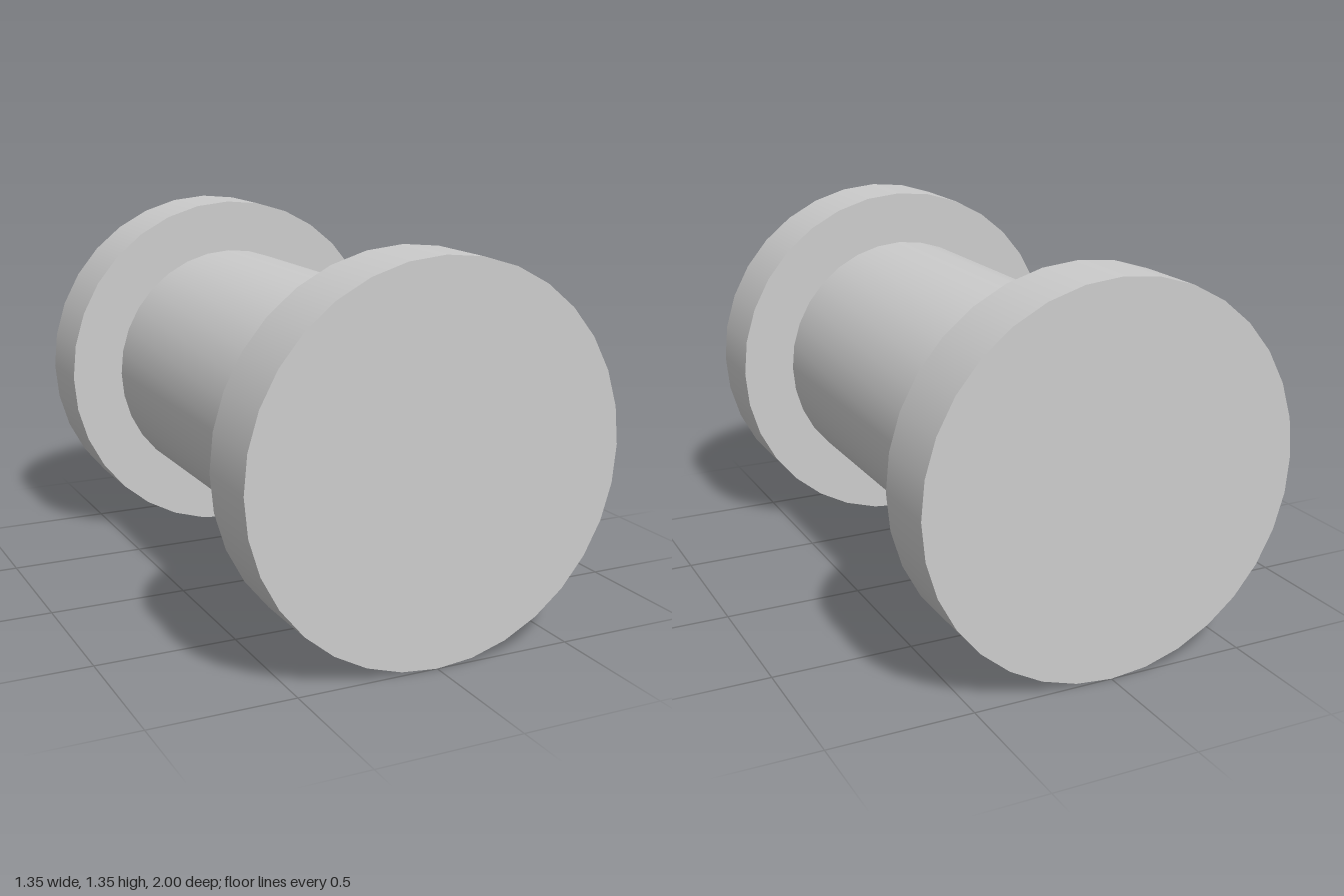
import * as THREE from 'three';

const SEGMENTS = 32;
const FLANGE_RADIUS = 0.675, FLANGE_WIDTH = 0.27;
const BARREL_RADIUS = 0.475;

export function createModel() {
  const group = new THREE.Group();
  group.name = 'spool';
  const material = new THREE.MeshStandardMaterial({ color: 0xcccccc });

  // Cylinder lying along z, resting at the flange axis height
  const addDisc = (name, radius, length, z, openEnded) => {
    const geometry = new THREE.CylinderGeometry(radius, radius, length, SEGMENTS, 1, openEnded);
    geometry.rotateX(Math.PI / 2);
    const mesh = new THREE.Mesh(geometry, material);
    mesh.name = name;
    mesh.position.set(0, FLANGE_RADIUS, z);
    group.add(mesh);
  };

  // Central barrel, its ends closed by the flanges
  addDisc('barrel', BARREL_RADIUS, 2 - 2 * FLANGE_WIDTH, 0, true);

  // End flanges
  for (const [name, side] of [['frontFlange', 1], ['backFlange', -1]]) {
    addDisc(name, FLANGE_RADIUS, FLANGE_WIDTH, side * (1 - FLANGE_WIDTH / 2), false);
  }

  return group;
}
